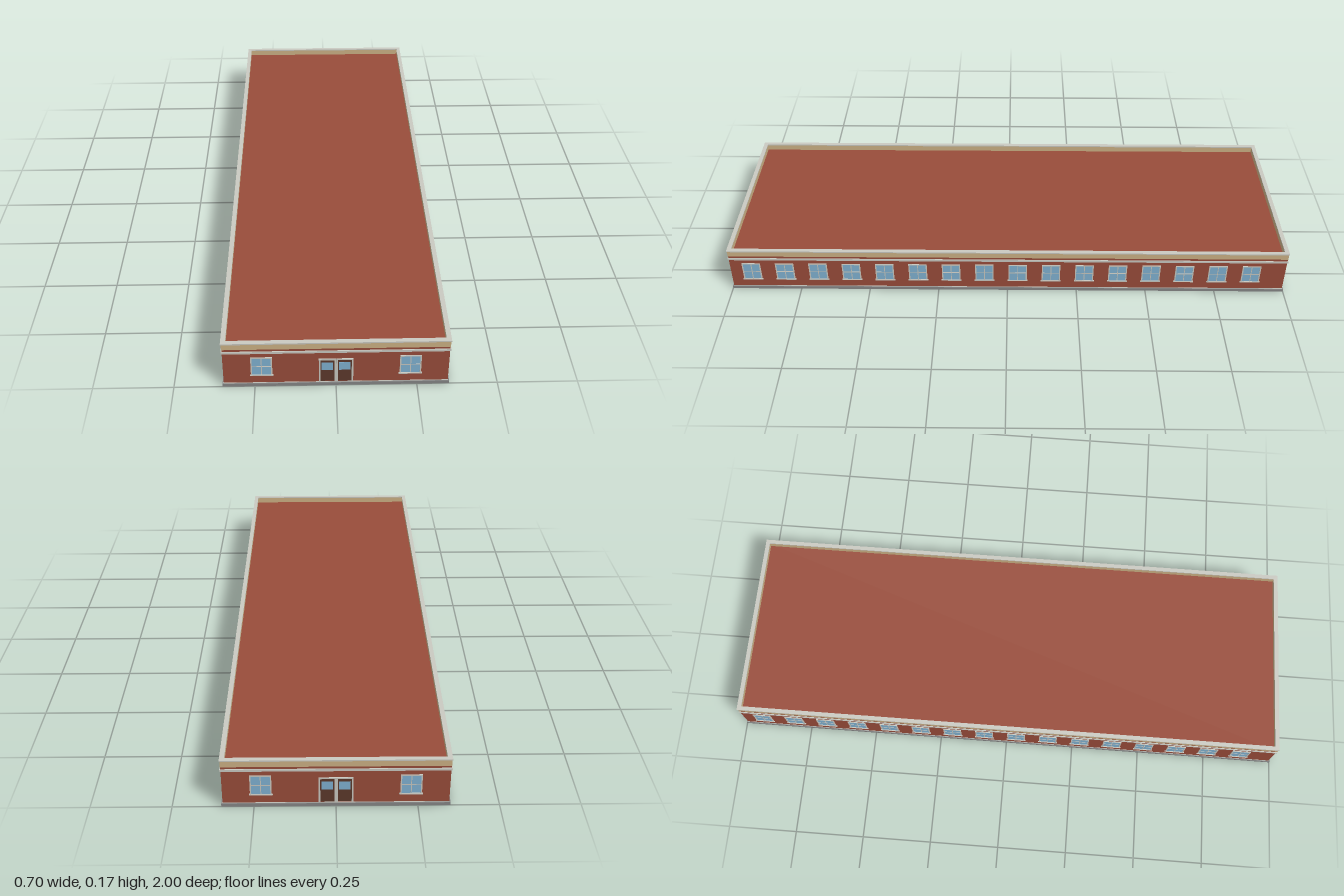
import * as THREE from 'three';

const mat = (name, color) => {
  const m = new THREE.MeshStandardMaterial({ color });
  m.name = name;
  return m;
};

export function createModel() {
  const brick = mat('brick', 0x984c3a);
  const tan = mat('tan parapet', 0xcbb084);
  const trim = mat('light trim', 0xc9c9c1);
  const stone = mat('grey foundation', 0x858585);
  const glass = mat('blue glass', 0x7fb0d0);
  const wood = mat('dark brown door', 0x5c382b);

  const W = 0.346, L = 0.996; // half width and half length of the walls
  const model = new THREE.Group();
  model.name = 'building';

  const box = (parent, name, m, x, y, z, w, h, d) => {
    const mesh = new THREE.Mesh(new THREE.BoxGeometry(w, h, d), m);
    mesh.position.set(x, y, z);
    mesh.name = name;
    parent.add(mesh);
  };
  const slab = (name, m, hw, hl, y0, y1) =>
    box(model, name, m, 0, (y0 + y1) / 2, 0, hw * 2, y1 - y0, hl * 2);

  // Rectangular ring following the outline of the walls
  const ring = (name, m, hw, hl, t, y0, y1) => {
    const rect = (Shape, a, b) => new Shape([
      new THREE.Vector2(-a, -b), new THREE.Vector2(a, -b),
      new THREE.Vector2(a, b), new THREE.Vector2(-a, b)]);
    const shape = rect(THREE.Shape, hw, hl);
    shape.holes.push(rect(THREE.Path, hw - t, hl - t));
    const geo = new THREE.ExtrudeGeometry(shape, { depth: y1 - y0, bevelEnabled: false });
    geo.rotateX(-Math.PI / 2).translate(0, y0, 0);
    const mesh = new THREE.Mesh(geo, m);
    mesh.name = name;
    model.add(mesh);
  };

  // Main body, stacked from the ground up
  slab('foundation', stone, 0.35, 1, 0, 0.0105);
  slab('baseTrim', trim, 0.347, 0.997, 0.0105, 0.0125);
  slab('walls', brick, W, L, 0.0125, 0.148);
  ring('cornice', trim, 0.349, 0.999, 0.01, 0.132, 0.14);
  ring('parapet', tan, 0.347, 0.997, 0.012, 0.148, 0.169);
  ring('parapetCap', trim, 0.349, 0.999, 0.015, 0.169, 0.1735);

  // Four-pane window facing +z, its back on z = 0
  const makeWindow = () => {
    const g = new THREE.Group();
    g.name = 'window';
    const y = 0.079, w = 0.066, h = 0.074, t = 0.004;
    box(g, 'windowGlass', glass, 0, y, 0.0005, w - t, h - t, 0.001);
    for (const s of [-1, 1]) {
      box(g, 'windowJamb', trim, s * (w - t) / 2, y, 0.0015, t, h, 0.003);
    }
    box(g, 'windowHead', trim, 0, y + (h - t) / 2, 0.0015, w, t, 0.003);
    box(g, 'windowSill', trim, 0, y - (h - t) / 2, 0.002, w + 0.006, t, 0.004);
    box(g, 'windowMullion', trim, 0, y, 0.001, 0.0028, h - t, 0.002);
    box(g, 'windowRail', trim, 0, y, 0.001, w - t, 0.0028, 0.002);
    return g;
  };

  // Framed door leaf with an upper pane
  const makeDoor = () => {
    const g = new THREE.Group();
    g.name = 'door';
    const y0 = 0.0125, y1 = 0.107, w = 0.0525, t = 0.005;
    const h = y1 - y0, y = (y0 + y1) / 2;
    box(g, 'doorLeaf', wood, 0, y, 0.0005, w - t, h - t, 0.001);
    box(g, 'doorPane', glass, 0, 0.0765, 0.001, 0.035, 0.031, 0.0015);
    for (const s of [-1, 1]) {
      box(g, 'doorJamb', trim, s * (w - t) / 2, y, 0.0015, t, h, 0.003);
    }
    box(g, 'doorHead', trim, 0, y1 - t / 2, 0.0015, w, t, 0.003);
    return g;
  };

  // Each half holds one short and one long facade; the second is turned by 180 degrees
  for (const name of ['frontAndLeftFacades', 'backAndRightFacades']) {
    const half = new THREE.Group();
    half.name = name;
    for (const s of [-1, 1]) {
      const win = makeWindow();
      win.position.set(s * 0.228, 0, L);
      const door = makeDoor();
      door.position.set(s * 0.0266, 0, L);
      half.add(win, door);
    }
    for (let i = 0; i < 16; i++) {
      const win = makeWindow();
      win.rotation.y = Math.PI / 2;
      win.position.set(W, 0, 0.92 - i * 0.1196);
      half.add(win);
    }
    if (name.startsWith('back')) half.rotation.y = Math.PI;
    model.add(half);
  }
  return model;
}
